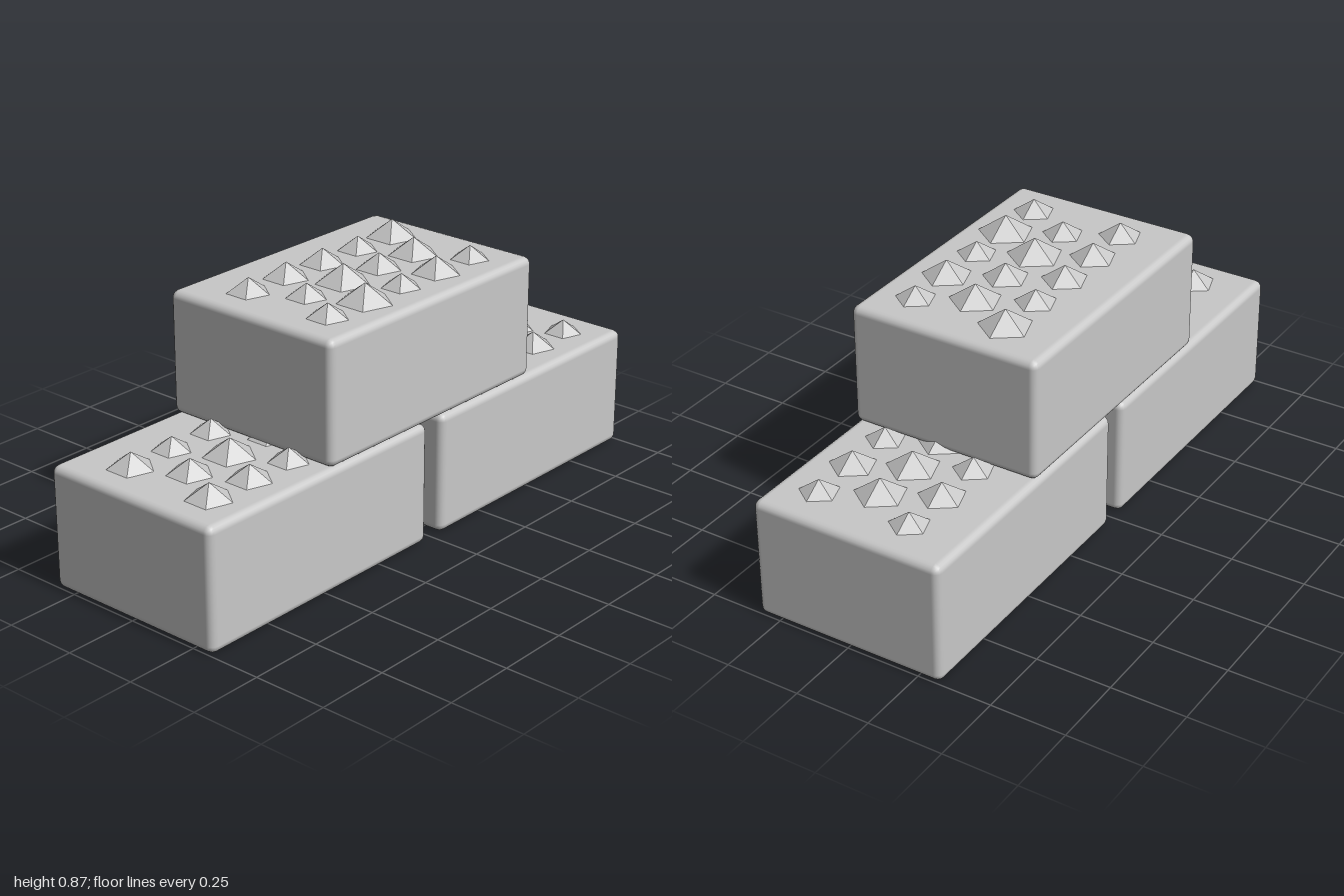
import * as THREE from 'three';
import { RoundedBoxGeometry } from 'three/addons/geometries/RoundedBoxGeometry.js';

const W = 0.966, H = 0.406, D = 0.656;

// Stud radii per row, from back to front, each listed along +x
const ROWS = [
  { z: -0.133, x0: -0.338 },
  { z: 0.028, x0: -0.254 },
  { z: 0.188, x0: -0.338 },
];
const STEP = 0.169;

const BLOCKS = [
  { name: 'rightBlock', x: -0.517, y: 0, radii: [
    [0.075, 0.064, 0.066, 0.075, 0.07],
    [0.073, 0.085, 0.066, 0.075],
    [0.075, 0.073, 0.066, 0.07, 0.066]] },
  { name: 'leftBlock', x: 0.517, y: 0, radii: [
    [0.07, 0.075, 0.066, 0.075, 0.064],
    [0.07, 0.088, 0.085, 0.083],
    [0.066, 0.075, 0.064, 0.075, 0.064]] },
  { name: 'topBlock', x: -0.002, y: H, radii: [
    [0.07, 0.075, 0.074, 0.067, 0.086],
    [0.066, 0.09, 0.074, 0.083],
    [0.067, 0.09, 0.064, 0.08, 0.064]] },
];

export function createModel() {
  const model = new THREE.Group();
  model.name = 'spikedBlocks';
  const grey = new THREE.MeshStandardMaterial({ color: 0xc8c8c8 });
  grey.name = 'grey';

  const blockGeometry = new RoundedBoxGeometry(W, H, D, 2, 0.025);

  // Five-sided stud with one corner towards +x and flat faces
  const studGeometry = new THREE.ConeGeometry(1, 0.68, 5, 1, true, Math.PI / 2)
    .translate(0, 0.34, 0).toNonIndexed();
  studGeometry.computeVertexNormals();

  for (const { name, x, y, radii } of BLOCKS) {
    const block = new THREE.Group();
    block.name = name;
    block.position.set(x, y, 0);

    const body = new THREE.Mesh(blockGeometry, grey);
    body.name = 'body';
    body.position.y = H / 2;
    block.add(body);

    // Staggered rows of studs on the top face
    ROWS.forEach(({ z, x0 }, row) => radii[row].forEach((r, i) => {
      const stud = new THREE.Mesh(studGeometry, grey);
      stud.name = 'stud';
      stud.position.set(x0 + i * STEP, H, z);
      stud.scale.setScalar(r);
      block.add(stud);
    }));
    model.add(block);
  }
  return model;
}
